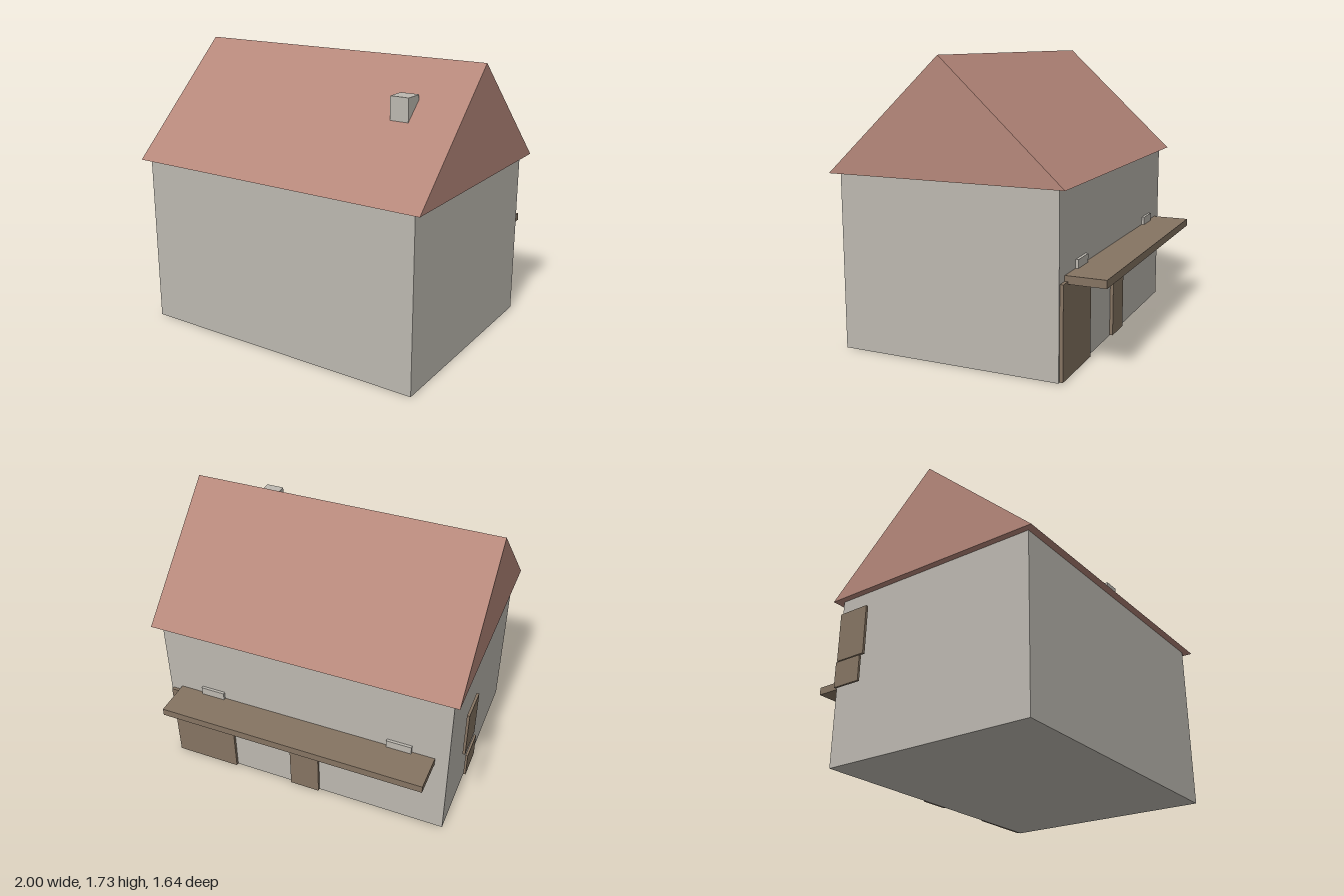
import * as THREE from 'three';

const wallGrey = new THREE.MeshStandardMaterial({ name: 'wallGrey', color: 0xbcb8b0 });
const roofRed = new THREE.MeshStandardMaterial({ name: 'roofRed', color: 0xb5877a });
const woodBrown = new THREE.MeshStandardMaterial({ name: 'woodBrown', color: 0x857462 });

// Box given by its [min, max] extents on each axis
function block(name, material, [x0, x1], [y0, y1], [z0, z1]) {
  const mesh = new THREE.Mesh(new THREE.BoxGeometry(x1 - x0, y1 - y0, z1 - z0), material);
  mesh.position.set((x0 + x1) / 2, (y0 + y1) / 2, (z0 + z1) / 2);
  mesh.name = name;
  return mesh;
}

// Gabled prism with its ridge along x
function gableRoof() {
  const x0 = -0.95, x1 = 1.0;
  const gable = new THREE.Shape([
    new THREE.Vector2(-0.82, 1.055),
    new THREE.Vector2(0.635, 1.055),
    new THREE.Vector2(-0.093, 1.73),
  ]);
  const geometry = new THREE.ExtrudeGeometry(gable, { depth: x1 - x0, bevelEnabled: false });
  geometry.rotateY(Math.PI / 2); // shape x becomes -z, depth becomes +x
  geometry.translate(x0, 0, 0);
  const mesh = new THREE.Mesh(geometry, roofRed);
  mesh.name = 'roof';
  return mesh;
}

export function createModel() {
  const house = new THREE.Group();
  house.name = 'house';
  const wallZ = -0.585;

  // Main volume
  house.add(
    block('walls', wallGrey, [-0.91, 0.95], [0, 1.055], [wallZ, 0.775]),
    gableRoof(),
    block('chimney', wallGrey, [0.587, 0.702], [1.3, 1.56], [0.307, 0.424]),
  );

  // Back side: canopy, doors and small windows
  house.add(
    block('canopy', woodBrown, [-0.825, 0.872], [0.53, 0.577], [-0.822, wallZ]),
    block('wideDoor', woodBrown, [0.515, 0.94], [0.003, 0.545], [-0.605, wallZ]),
    block('narrowDoor', woodBrown, [-0.08, 0.115], [0.003, 0.355], [-0.605, wallZ]),
    block('leftWindow', wallGrey, [0.56, 0.715], [0.475, 0.627], [-0.602, wallZ]),
    block('rightWindow', wallGrey, [-0.683, -0.526], [0.475, 0.627], [-0.602, wallZ]),
  );

  // Panels standing clear of the side wall
  house.add(
    block('upperPanel', woodBrown, [-0.985, -0.969], [0.612, 0.918], [-0.52, -0.316]),
    block('lowerPanel', woodBrown, [-1.0, -0.986], [0.44, 0.597], [-0.51, -0.325]),
  );
  return house;
}
